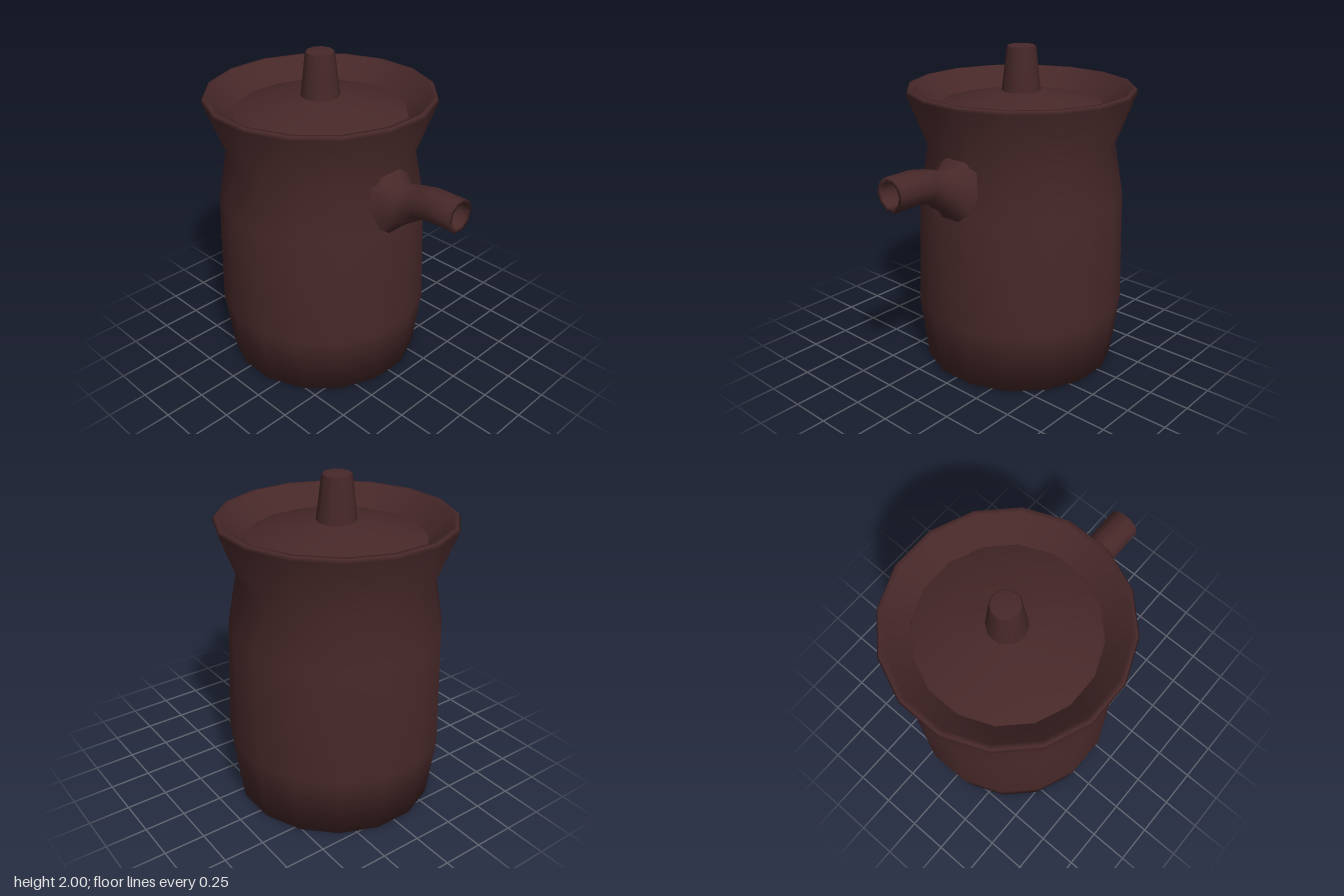
import * as THREE from 'three';

const AXIS_Z = -0.19; // the pot's axis sits behind the centre because of the spout

function lathe(name, profile, sides, material) {
  const points = profile.map(([r, y]) => new THREE.Vector2(r, y));
  const mesh = new THREE.Mesh(new THREE.LatheGeometry(points, sides, Math.PI / sides), material);
  mesh.name = name;
  mesh.position.z = AXIS_Z;
  return mesh;
}

// Skin rings given by their top point, bottom point, half width and squareness
function spoutGeometry(rings, sides) {
  const positions = [], index = [];
  const lift = Math.sin((2 * Math.PI * Math.round(sides / 4)) / sides);
  const bend = (v, p) => Math.sign(v) * Math.pow(Math.abs(v), p);
  rings.forEach(([zTop, yTop, zBottom, yBottom, halfWidth, power]) => {
    for (let i = 0; i < sides; i++) {
      const a = (2 * Math.PI * i) / sides;
      const t = bend(Math.sin(a) / lift, power);
      positions.push(
        bend(Math.cos(a), power) * halfWidth,
        (yTop + yBottom) / 2 + (t * (yTop - yBottom)) / 2,
        (zTop + zBottom) / 2 + (t * (zTop - zBottom)) / 2
      );
    }
  });
  for (let r = 0; r < rings.length - 1; r++) {
    for (let i = 0; i < sides; i++) {
      const j = (i + 1) % sides;
      const a = r * sides + i, b = r * sides + j;
      index.push(a, b, b + sides, a, b + sides, a + sides);
    }
  }
  const geometry = new THREE.BufferGeometry();
  geometry.setAttribute('position', new THREE.Float32BufferAttribute(positions, 3));
  geometry.setIndex(index);
  geometry.computeVertexNormals();
  return geometry;
}

export function createModel() {
  const group = new THREE.Group();
  group.name = 'spoutedPot';
  const clay = new THREE.MeshStandardMaterial({ color: 0x472829 });
  clay.name = 'dark brown clay';

  // Body: base, bulging wall, pinched neck, flared rim and inner wall
  group.add(lathe('body', [
    [0, 0], [0.612, 0], [0.66, 0.39], [0.638, 1.1], [0.58, 1.42],
    [0.70, 1.74], [0.688, 1.76], [0.66, 1.76], [0.53, 1.62], [0.5, 1.6],
  ], 16, clay));

  // Lid: shallow cone inside the rim
  group.add(lathe('lid', [
    [0.54, 1.6], [0.52, 1.64], [0.32, 1.69], [0.13, 1.73], [0, 1.74],
  ], 16, clay));

  // Knob: tapered grip
  group.add(lathe('knob', [
    [0.125, 1.69], [0.115, 1.76], [0.088, 1.99], [0.08, 2], [0, 2],
  ], 10, clay));

  // Spout: flared root, bent neck, straight hollow tip
  const spout = new THREE.Mesh(spoutGeometry([
    [0.34, 1.43, 0.40, 1.03, 0.19, 0.6],
    [0.49, 1.375, 0.48, 1.12, 0.105, 1],
    [0.60, 1.41, 0.64, 1.23, 0.1, 1],
    [0.71, 1.43, 0.72, 1.24, 0.1, 1],
    [0.88, 1.43, 0.88, 1.24, 0.1, 1],
    [0.88, 1.405, 0.88, 1.265, 0.073, 1],
    [0.76, 1.4, 0.76, 1.27, 0.068, 1],
    [0.75, 1.335, 0.75, 1.335, 0, 1],
  ], 10), clay);
  spout.name = 'spout';
  group.add(spout);

  return group;
}
